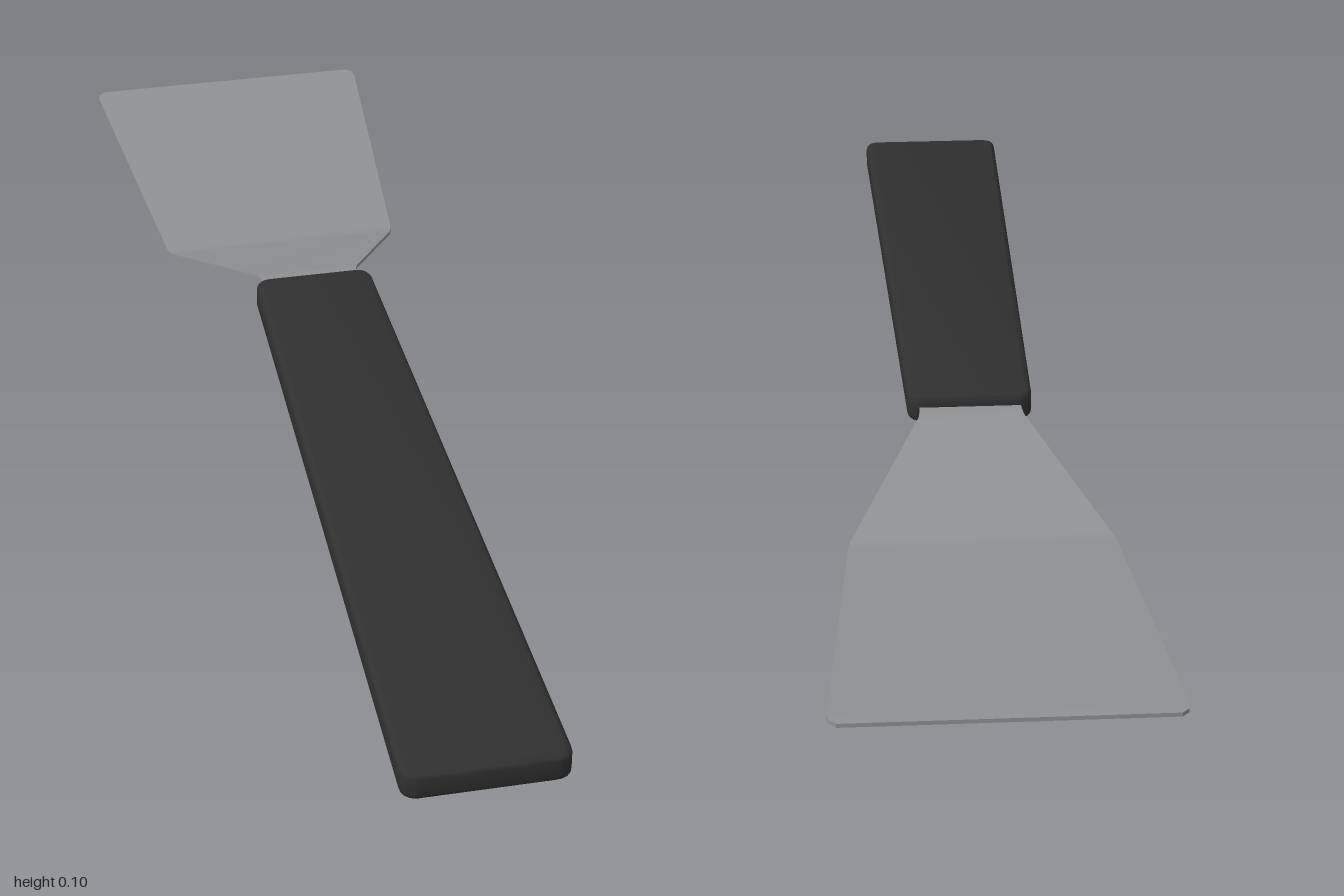
import * as THREE from 'three';
import { toCreasedNormals } from 'three/addons/utils/BufferGeometryUtils.js';

// Tapered, rounded grip: a bevelled plan outline sheared to slope up towards the blade
function handleGeometry() {
  const bevel = 0.009, zFront = 1, zBack = -0.19;
  const corners = [[-0.118, -zFront], [0.118, -zFront], [0.094, -zBack], [-0.094, -zBack]]
    .map(([x, y], i) => new THREE.Vector2(x - Math.sign(x) * bevel, y + (i < 2 ? bevel : -bevel)));
  const shape = new THREE.Shape();
  corners.forEach((c, i) => {
    const prev = corners[(i + 3) % 4], next = corners[(i + 1) % 4];
    const a = c.clone().add(prev.clone().sub(c).setLength(0.016));
    const b = c.clone().add(next.clone().sub(c).setLength(0.016));
    if (i === 0) shape.moveTo(a.x, a.y); else shape.lineTo(a.x, a.y);
    shape.quadraticCurveTo(c.x, c.y, b.x, b.y);
  });
  shape.closePath();
  const geo = new THREE.ExtrudeGeometry(shape, {
    depth: 0.026, bevelThickness: bevel, bevelSize: bevel, bevelSegments: 3, curveSegments: 5,
  });
  geo.rotateX(-Math.PI / 2);
  const p = geo.attributes.position;
  for (let i = 0; i < p.count; i++) {
    const t = (zFront - p.getZ(i)) / (zFront - zBack);
    p.setY(i, p.getY(i) + bevel + 0.002 + 0.057 * t);
  }
  return toCreasedNormals(geo, 0.7);
}

// Thin bent sheet made from rectangular sections: [z, underside y, half width]
function bladeGeometry() {
  const thickness = 0.006;
  const rows = [
    [-0.1, 0.074, 0.077], [-0.195, 0.079, 0.077], [-0.22, 0.079, 0.079], [-0.235, 0.076, 0.085],
    [-0.45, 0.003, 0.186], [-0.465, 0, 0.192], [-0.48, 0.001, 0.194],
    [-0.975, 0.031, 0.236], [-0.99, 0.032, 0.234], [-1, 0.032, 0.224],
  ];
  const pos = [], index = [];
  rows.forEach(([z, y, w], r) => {
    pos.push(-w, y, z, w, y, z, w, y + thickness, z, -w, y + thickness, z);
    if (r === rows.length - 1) return;
    for (let k = 0; k < 4; k++) {
      const a = r * 4 + k, b = r * 4 + (k + 1) % 4;
      index.push(a, a + 4, b, b, a + 4, b + 4);
    }
  });
  const e = (rows.length - 1) * 4;
  index.push(0, 1, 2, 0, 2, 3, e, e + 2, e + 1, e, e + 3, e + 2);
  const geo = new THREE.BufferGeometry();
  geo.setAttribute('position', new THREE.Float32BufferAttribute(pos, 3));
  geo.setIndex(index);
  return toCreasedNormals(geo, 0.6);
}

export function createModel() {
  const steel = new THREE.MeshStandardMaterial({ color: 0x909294 });
  steel.name = 'steel';
  const blackPlastic = new THREE.MeshStandardMaterial({ color: 0x303030 });
  blackPlastic.name = 'blackPlastic';

  const group = new THREE.Group();
  group.name = 'spatula';
  const handle = new THREE.Mesh(handleGeometry(), blackPlastic);
  handle.name = 'handle';
  const blade = new THREE.Mesh(bladeGeometry(), steel);
  blade.name = 'blade';
  group.add(handle, blade);
  return group;
}
